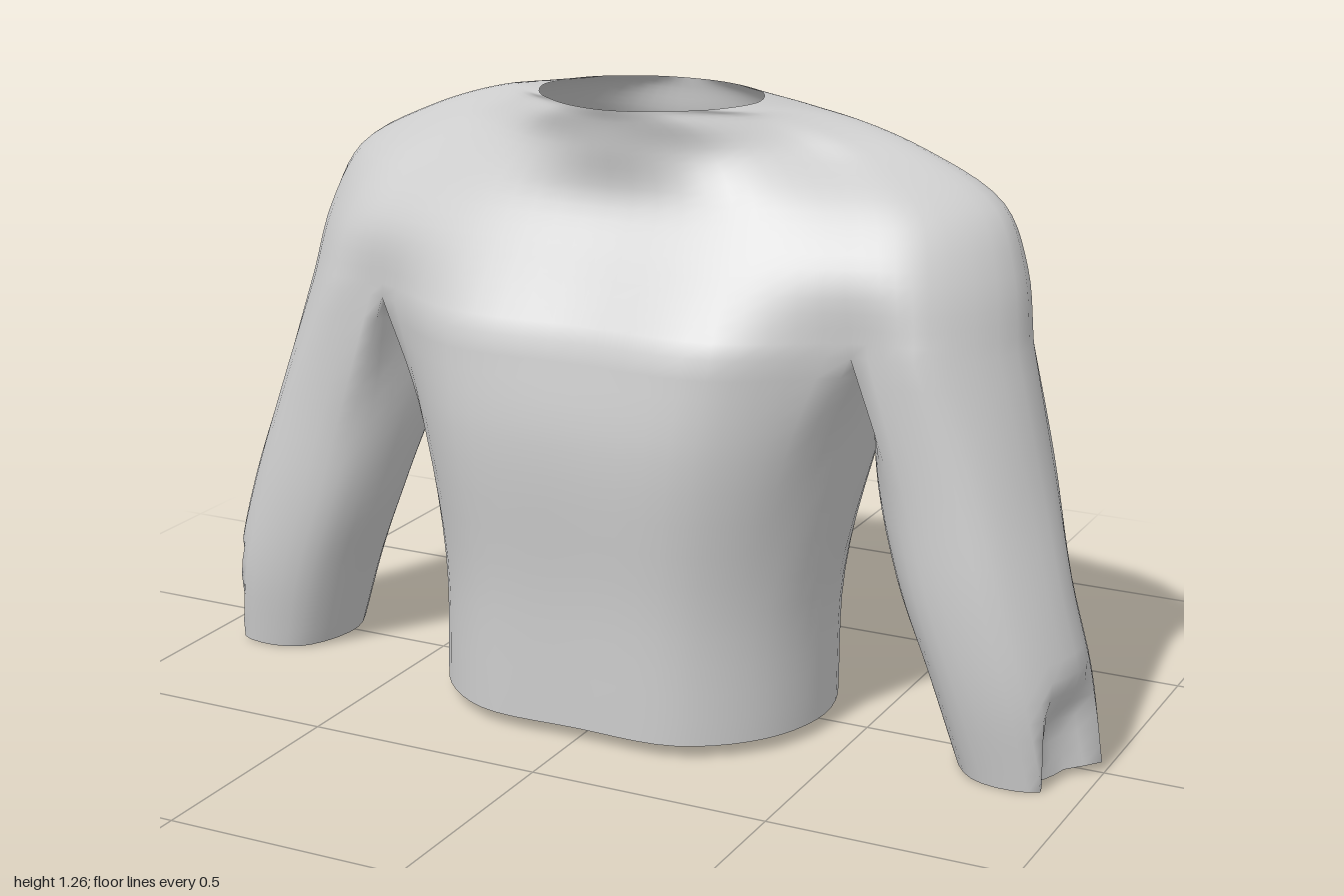
import * as THREE from 'three';
import { mergeVertices } from 'three/addons/utils/BufferGeometryUtils.js';

const N = 5; // samples between neighbouring control points
const ROWS = 5; // rows between neighbouring sections
const V = (x, y, z) => new THREE.Vector3(x, y, z);
const flip = (v) => V(-v.x, v.y, v.z);

// Smooth closed loop sampled evenly per control point
function sampleLoop(points) {
  const curve = new THREE.CatmullRomCurve3(points, true, 'centripetal');
  const count = points.length * N;
  return Array.from({ length: count }, (_, i) => curve.getPoint(i / count));
}

// Left half, front centre to back centre, mirrored into a full loop
function bodyLoop(half) {
  return sampleLoop([...half, ...half.slice(1, -1).reverse().map(flip)]);
}

// Adds smooth rows between sections, following each column
function loft(rings) {
  const columns = rings[0].map((_, i) =>
    new THREE.CatmullRomCurve3(rings.map((r) => r[i]), false, 'centripetal'));
  const rows = (rings.length - 1) * ROWS;
  return Array.from({ length: rows + 1 }, (_, r) => columns.map((c) => c.getPoint(r / rows)));
}

// Chest and shoulders: height, half width, depths from front centre round to back centre
const yokeSpread = [0, .36, .65, .84, 1, .86, .65, .33, 0];
const yokeHalf = (y, w, ...depths) => depths.map((z, i) => V(yokeSpread[i] * w, y, z));
const yokeHalves = [
  yokeHalf(.83, .8, .315, .315, .18, .16, -.04, -.235, -.27, -.355, -.3),
  yokeHalf(.97, .775, .23, .23, .175, .12, -.07, -.235, -.28, -.345, -.29),
  yokeHalf(1.09, .72, .165, .155, .1, .05, -.09, -.2, -.25, -.305, -.26),
  yokeHalf(1.18, .56, .175, .12, .02, -.03, -.1, -.16, -.2, -.24, -.215),
  yokeHalf(1.24, .38, .185, .15, .05, -.015, -.085, -.13, -.17, -.21, -.205),
  yokeHalf(1.265, .235, .195, .175, .13, .085, -.01, -.11, -.155, -.19, -.2),
];

// Torso: flattened oval from height, half width, front, back and side depth
function torsoHalf(y, w, front, back, side) {
  const at = (spread, end, reach) => V(spread * w, y, side + (end - side) * reach);
  return [
    at(0, front, 1), at(.53, front, .97), at(.87, front, .58), at(1, front, 0),
    at(.87, back, .65), at(.5, back, 1.07), at(0, back, 1),
  ];
}

// Sleeve: oval from height, inner and outer edge, back and front depth, dipping to the front
function sleeveLoop(y, inner, outer, back, front) {
  const angles = [120, 60, 0, -60, -120, 180];
  return sampleLoop(angles.map((degrees) => {
    const a = THREE.MathUtils.degToRad(degrees);
    const z = Math.sin(a) * (front - back) * .54;
    return V((inner + outer) / 2 + Math.cos(a) * (outer - inner) / 2, y - z * .12, (front + back) / 2 + z);
  }));
}

export function createModel() {
  const yoke = yokeHalves.map(bodyLoop);
  const top = yoke[0];

  // Under-arm loop: the yoke's front and back edges closed by a seam at each armpit
  const edge = yokeHalves[0];
  const under = bodyLoop([...edge.slice(0, 3), V(.52, .78, -.04), ...edge.slice(6)]).map((p, i) => {
    if (i <= 2 * N) return top[i];
    if (i >= 4 * N && i <= 8 * N) return top[i + 2 * N];
    if (i >= 10 * N) return top[i + 4 * N];
    return p;
  });
  const torso = [
    bodyLoop(torsoHalf(.03, .42, .325, -.25, .03)),
    bodyLoop(torsoHalf(.3, .425, .325, -.27, .02)),
    bodyLoop(torsoHalf(.62, .495, .345, -.3, -.02)),
    under,
  ];
  const sleeve = [
    sleeveLoop(.02, .705, .998, -.11, .155),
    sleeveLoop(.2, .645, .973, -.115, .18),
    sleeveLoop(.38, .575, .925, -.12, .185),
    sleeveLoop(.6, .515, .86, -.195, .175),
  ];
  // Sleeve head: outer edge of the yoke plus the armpit seam
  sleeve.push(sleeve[0].map((_, i) => (i <= 4 * N ? top[i + 2 * N] : under[8 * N - i])));

  const leftRows = loft(sleeve);
  // Folded dent at the outer edge of the cuff
  for (const p of leftRows.flat()) {
    const across = 1 - Math.abs(p.z - .075) / .075;
    if (p.x > .84 && p.y < .22 && across > 0) {
      p.x -= .06 * Math.min(1, across * 1.8) * Math.min(1, (.22 - p.y) / .1);
    }
  }
  const parts = {
    chestAndShoulders: loft(yoke),
    torso: loft(torso),
    leftSleeve: leftRows,
    rightSleeve: leftRows.map((row) => row.map(flip).reverse()),
  };

  // Weld everything once so the shading runs smoothly over the joins
  const positions = [];
  const indices = [];
  const ranges = [];
  for (const [name, rows] of Object.entries(parts)) {
    const base = positions.length / 3;
    const start = indices.length;
    const n = rows[0].length;
    rows.flat().forEach((p) => positions.push(p.x, p.y, p.z));
    for (let r = 0; r < rows.length - 1; r++) {
      for (let i = 0; i < n; i++) {
        const a = base + r * n + i;
        const b = base + r * n + ((i + 1) % n);
        indices.push(a, b, b + n, a, b + n, a + n);
      }
    }
    ranges.push([name, start, indices.length]);
  }
  let shell = new THREE.BufferGeometry();
  shell.setAttribute('position', new THREE.Float32BufferAttribute(positions, 3));
  shell.setIndex(indices);
  shell = mergeVertices(shell, 1e-4);
  shell.computeVertexNormals();

  const cloth = new THREE.MeshStandardMaterial({ color: 0xcccccc, side: THREE.DoubleSide });
  cloth.name = 'greyCloth';

  // One mesh per part, cut from the welded shell
  const group = new THREE.Group();
  group.name = 'shirt';
  const welded = Array.from(shell.index.array);
  for (const [name, start, end] of ranges) {
    const geometry = new THREE.BufferGeometry();
    geometry.setAttribute('position', shell.attributes.position);
    geometry.setAttribute('normal', shell.attributes.normal);
    geometry.setIndex(welded.slice(start, end));
    const mesh = new THREE.Mesh(geometry, cloth);
    mesh.name = name;
    group.add(mesh);
  }
  return group;
}
